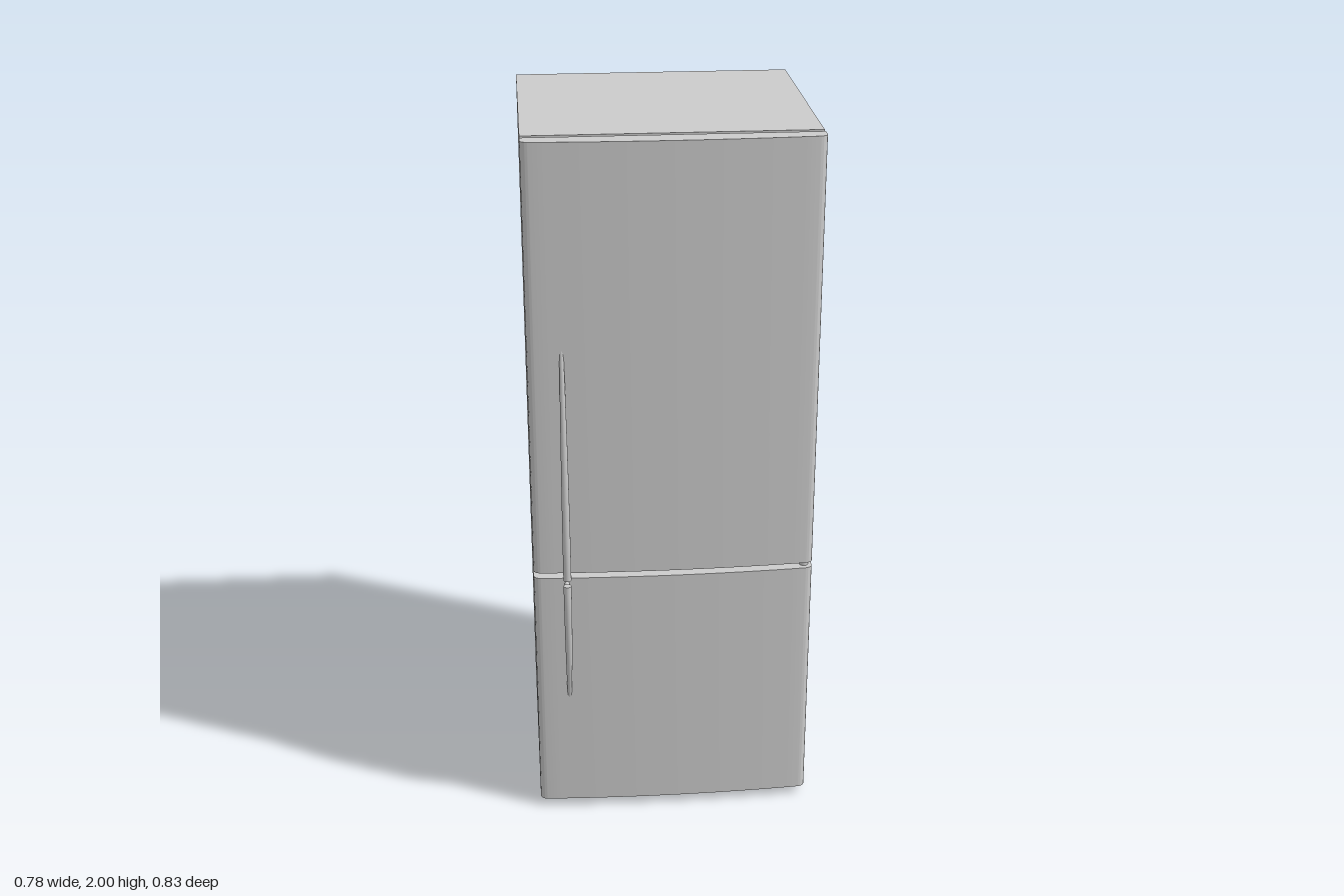
import * as THREE from 'three';
import { toCreasedNormals } from 'three/addons/utils/BufferGeometryUtils.js';

const material = new THREE.MeshStandardMaterial({ color: 0xcccccc });
const HANDLE_X = -0.3;

export function createModel() {
  const model = new THREE.Group();
  model.name = 'refrigerator';

  function add(name, geometry, x = 0, y = 0, z = 0, parent = model) {
    const mesh = new THREE.Mesh(geometry, material);
    mesh.name = name;
    mesh.position.set(x, y, z);
    parent.add(mesh);
    return mesh;
  }

  // Cabinet and the raised rim on its front
  add('cabinet', new THREE.BoxGeometry(0.784, 1.975, 0.7), 0, 1.0125, -0.065);
  add('frontRim', new THREE.BoxGeometry(0.764, 1.95, 0.012), 0, 1.0125, 0.289);

  // Doors: gently bowed plan with rounded front corners, extruded upwards
  function doorGeometry(height) {
    const s = new THREE.Shape();
    s.moveTo(-0.392, -0.303);
    s.lineTo(-0.392, -0.33);
    s.bezierCurveTo(-0.392, -0.342, -0.384, -0.349, -0.37, -0.3505);
    s.quadraticCurveTo(0, -0.3735, 0.37, -0.3505);
    s.bezierCurveTo(0.384, -0.349, 0.392, -0.342, 0.392, -0.33);
    s.lineTo(0.392, -0.303);
    s.closePath();
    const g = new THREE.ExtrudeGeometry(s, { depth: height, bevelEnabled: false, curveSegments: 20 });
    g.rotateX(-Math.PI / 2);
    return toCreasedNormals(g, 0.6);
  }
  add('upperDoor', doorGeometry(1.222), 0, 0.778, 0);
  add('lowerDoor', doorGeometry(0.737), 0, 0.025, 0);

  // Hinge pin in the gap between the doors
  add('hingePin', new THREE.CylinderGeometry(0.012, 0.012, 0.02, 24), 0.37, 0.77, 0.325);

  // Handle: bowed rod, thick at the grip end and tapering into the door
  function addHandle(name, profile, postY) {
    const group = new THREE.Group();
    group.name = name;
    model.add(group);

    const path = new THREE.CatmullRomCurve3(
      profile.map(([y, z]) => new THREE.Vector3(HANDLE_X, y, z)));
    const steps = 40, sides = 16;
    const rod = new THREE.TubeGeometry(path, steps, 0.011, sides);
    const pos = rod.attributes.position;
    const v = new THREE.Vector3();
    for (let i = 0; i <= steps; i++) {
      const t = i / steps;
      const centre = path.getPointAt(t);
      const scale = 1 - 0.5 * t * t;
      for (let j = 0; j <= sides; j++) {
        const k = i * (sides + 1) + j;
        v.fromBufferAttribute(pos, k).sub(centre).multiplyScalar(scale).add(centre);
        pos.setXYZ(k, v.x, v.y, v.z);
      }
    }
    add('handleRod', rod, 0, 0, 0, group);

    // Flat cap on the grip end
    const [endY, endZ] = profile[0];
    const cap = add('handleCap', new THREE.CircleGeometry(0.011, sides), HANDLE_X, endY, endZ, group);
    cap.lookAt(path.getPointAt(0).sub(path.getTangentAt(0)));

    // Standoff post reaching back to the door
    const post = new THREE.CylinderGeometry(0.007, 0.007, 0.05, sides);
    post.rotateX(Math.PI / 2);
    add('handlePost', post, HANDLE_X, postY, 0.372, group);
  }
  addHandle('upperHandle',
    [[0.78, 0.4], [0.88, 0.401], [1.02, 0.395], [1.2, 0.38], [1.36, 0.361], [1.45, 0.347]], 0.797);
  addHandle('lowerHandle',
    [[0.762, 0.4], [0.7, 0.401], [0.6, 0.395], [0.5, 0.38], [0.42, 0.361], [0.37, 0.347]], 0.744);

  // Feet
  for (const x of [-0.355, 0.355]) {
    for (const z of [0.253, -0.377]) {
      add('foot', new THREE.CylinderGeometry(0.034, 0.034, 0.026, 32), x, 0.013, z);
    }
  }
  return model;
}
